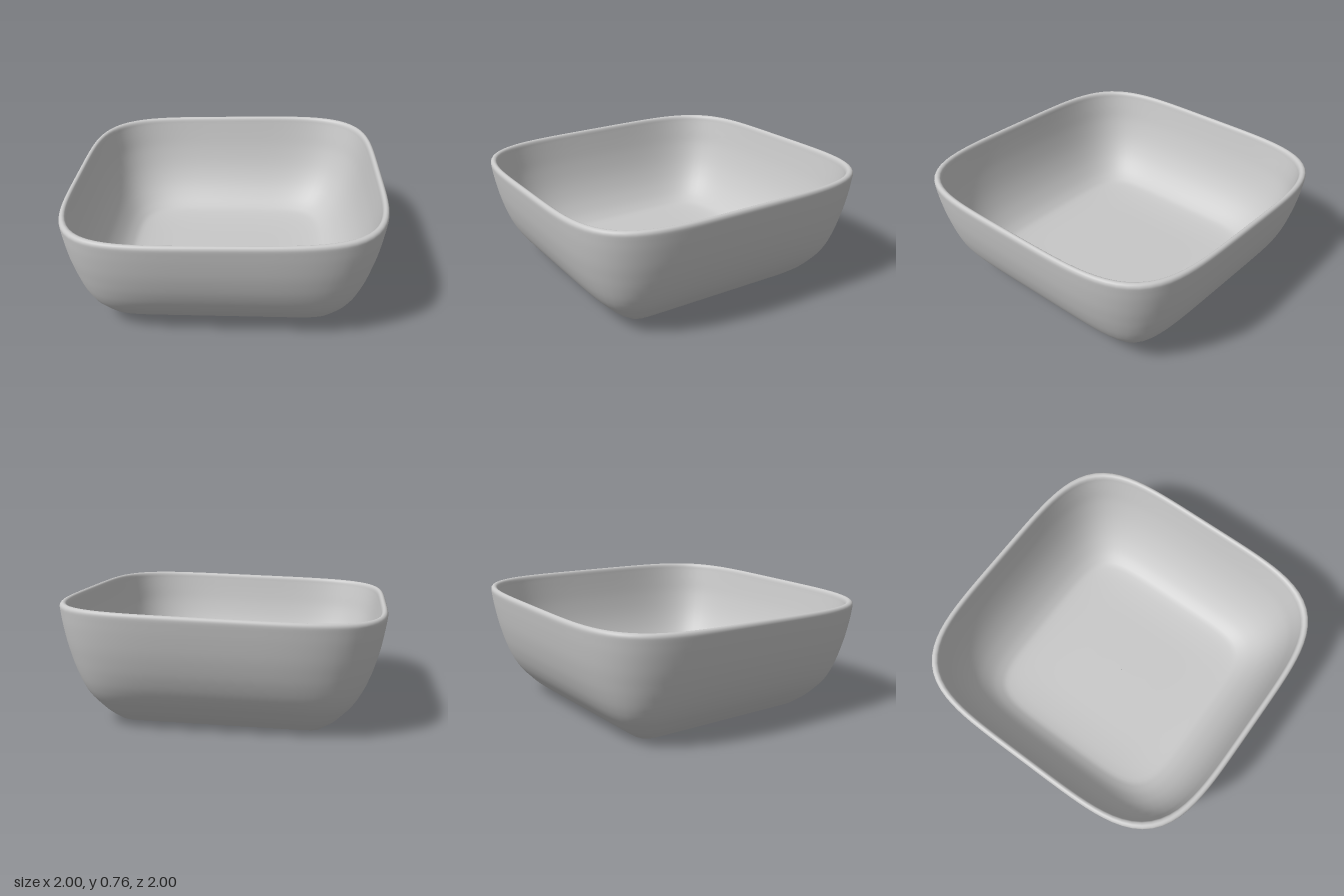
import * as THREE from 'three';

const SEGMENTS = 128;

// Smooth run through [half-width, height, squareness] points
function sweep(points, steps) {
  return new THREE.CatmullRomCurve3(points.map(p => new THREE.Vector3(...p)), false, 'centripetal')
    .getPoints(steps).map(v => [v.x, v.y, v.z]);
}

// Skins rounded-square rings, listed from the underside outwards, up and back in
function skin(profile) {
  const positions = [], index = [];
  for (const [half, height, n] of profile) {
    for (let i = 0; i < SEGMENTS; i++) {
      const a = i / SEGMENTS * Math.PI * 2, c = Math.cos(a), s = Math.sin(a);
      const r = half * (Math.abs(c) ** n + Math.abs(s) ** n) ** (-1 / n);
      const x = r * c, z = r * s;
      // the hand-made form leans slightly up to one side and the back
      positions.push(x, height + 0.008 + x * (0.012 + 0.02 * height) - 0.01 * z * height, z);
    }
  }
  for (let j = 0; j < profile.length - 1; j++) {
    for (let i = 0; i < SEGMENTS; i++) {
      const k = (i + 1) % SEGMENTS;
      const a = j * SEGMENTS + i, b = j * SEGMENTS + k, c = a + SEGMENTS, d = b + SEGMENTS;
      if (profile[j][0] > 0) index.push(a, c, b);
      if (profile[j + 1][0] > 0) index.push(b, c, d);
      else if (profile[j][0] > 0 && index.length === 0) index.push(a, c, b);
    }
  }
  const geometry = new THREE.BufferGeometry();
  geometry.setAttribute('position', new THREE.Float32BufferAttribute(positions, 3));
  geometry.setIndex(index);
  geometry.computeVertexNormals();
  return geometry;
}

export function createModel() {
  const glaze = new THREE.MeshStandardMaterial({ color: 0xc8c8c8 });
  glaze.name = 'grey glaze';
  const group = new THREE.Group();
  group.name = 'squareBowl';

  const add = (name, profile) => {
    const mesh = new THREE.Mesh(skin(profile), glaze);
    mesh.name = name;
    group.add(mesh);
  };

  // Underside with a shallow square recess and a thin foot edge
  add('underside', [
    [0.001, 0.026, 9], [0.12, 0.026, 9], [0.14, 0.024, 9], [0.19, 0.01, 10], [0.21, 0.007, 12],
    [0.23, 0.006, 14], [0.56, 0.006, 18], [0.59, 0.003, 18], [0.605, 0, 18], [0.625, 0, 18],
  ]);

  // Outer wall, rolled rim and inner wall in one smooth skin
  const outer = sweep([
    [0.625, 0, 18], [0.65, 0.018, 15], [0.75, 0.1, 9], [0.84, 0.2, 6.5], [0.897, 0.3, 5.4],
    [0.936, 0.4, 4.9], [0.964, 0.5, 4.7], [0.984, 0.6, 4.6], [0.997, 0.68, 4.5],
  ], 40);
  const rim = sweep([
    [0.997, 0.68, 4.5], [0.998, 0.7, 4.5], [0.992, 0.714, 4.5], [0.98, 0.72, 4.5],
    [0.968, 0.715, 4.5], [0.961, 0.702, 4.5], [0.957, 0.68, 4.5],
  ], 18);
  const inner = sweep([
    [0.957, 0.68, 4.5], [0.942, 0.6, 4.5], [0.92, 0.5, 4.6], [0.89, 0.4, 4.7], [0.848, 0.3, 4.9],
    [0.787, 0.2, 5.2], [0.7, 0.11, 5.6], [0.6, 0.072, 6], [0.45, 0.06, 6], [0.2, 0.058, 6], [0.001, 0.058, 6],
  ], 50);
  add('bowlWall', [...outer, ...rim.slice(1), ...inner.slice(1)]);

  return group;
}
